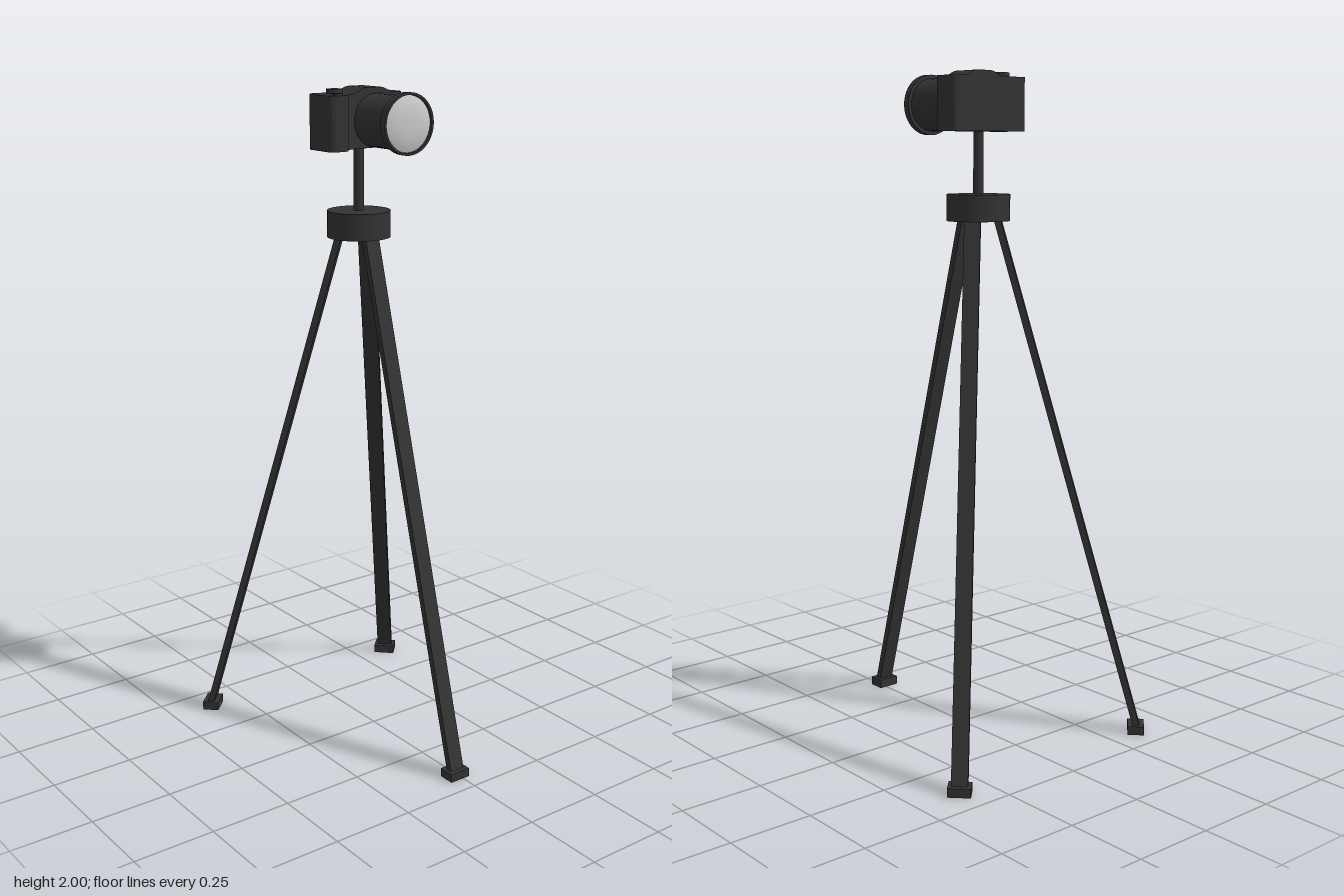
import * as THREE from 'three';
import { toCreasedNormals } from 'three/addons/utils/BufferGeometryUtils.js';

const dark = new THREE.MeshStandardMaterial({ color: 0x333333 });
const glass = new THREE.MeshStandardMaterial({ color: 0xcccccc });
const CX = -0.011, CZ = -0.059; // tripod axis
const LX = 0.031, LY = 1.906; // lens axis

export function createModel() {
  const model = new THREE.Group();

  function add(parent, name, geometry, x = 0, y = 0, z = 0, material = dark) {
    const mesh = new THREE.Mesh(geometry, material);
    mesh.name = name;
    mesh.position.set(x, y, z);
    parent.add(mesh);
    return mesh;
  }

  // Tripod: hub, centre column and three flat legs with block feet
  const tripod = new THREE.Group();
  tripod.name = 'tripod';
  model.add(tripod);
  add(tripod, 'hub', new THREE.CylinderGeometry(0.094, 0.094, 0.078, 32), CX, 1.608, CZ);
  add(tripod, 'centreColumn', new THREE.CylinderGeometry(0.015, 0.015, 0.22, 20), CX, 1.74, CZ);

  const legs = [
    { name: 'frontLeg', top: [CX, -0.006], foot: [CX, 0.422], angle: 0 },
    { name: 'backLeftLeg', top: [0.042, -0.098], foot: [0.354, -0.408], angle: Math.PI * 0.75 },
    { name: 'backRightLeg', top: [-0.05, -0.098], foot: [-0.357, -0.408], angle: -Math.PI * 0.75 },
  ];
  for (const { name, top, foot, angle } of legs) {
    const leg = new THREE.Group();
    leg.name = name;
    leg.position.set(foot[0], 0, foot[1]);
    leg.rotation.y = angle;
    tripod.add(leg);
    // In leg space +z points outwards; the leg leans inwards to the hub
    const run = Math.hypot(foot[0] - top[0], foot[1] - top[1]);
    const tilt = Math.atan2(run, 1.555);
    const length = 1.575 / Math.cos(tilt);
    const bar = add(leg, 'legBar', new THREE.BoxGeometry(0.048, length, 0.02).translate(0, length / 2, 0), 0, 0.012, 0.004);
    bar.rotation.x = -tilt;
    add(leg, 'foot', new THREE.BoxGeometry(0.067, 0.027, 0.05), 0, 0.0135, 0);
  }

  const camera = new THREE.Group();
  camera.name = 'camera';
  model.add(camera);

  // Body: rounded plan outline with a front grip (shape y is -z), extruded upwards
  const plan = new THREE.Shape();
  plan.moveTo(-0.135, 0.122);
  plan.lineTo(-0.154, 0.1);
  plan.lineTo(-0.154, 0.012);
  plan.quadraticCurveTo(-0.154, -0.008, -0.13, -0.008);
  plan.lineTo(-0.105, -0.008);
  plan.quadraticCurveTo(-0.091, -0.007, -0.086, 0.006);
  plan.quadraticCurveTo(-0.075, 0.031, -0.04, 0.032);
  plan.lineTo(0.11, 0.032);
  plan.quadraticCurveTo(0.135, 0.034, 0.135, 0.058);
  plan.lineTo(0.135, 0.098);
  plan.quadraticCurveTo(0.135, 0.12, 0.118, 0.122);
  plan.closePath();
  const body = new THREE.ExtrudeGeometry(plan, { depth: 0.156, bevelEnabled: false, curveSegments: 8 });
  body.rotateX(-Math.PI / 2);
  add(camera, 'body', toCreasedNormals(body, 0.6), 0, 1.828, 0);

  // Viewfinder hump: smooth bulge across the top of the body
  const hump = new THREE.Shape();
  hump.moveTo(-0.065, 0);
  hump.bezierCurveTo(-0.035, 0, -0.03, 0.022, 0, 0.022);
  hump.lineTo(0.045, 0.022);
  hump.bezierCurveTo(0.075, 0.022, 0.08, 0, 0.11, 0);
  hump.closePath();
  const humpGeometry = new THREE.ExtrudeGeometry(hump, { depth: 0.088, bevelEnabled: false, curveSegments: 10 });
  add(camera, 'viewfinderHump', toCreasedNormals(humpGeometry, 0.6), 0, 1.978, -0.121);

  // Controls on the top plate
  add(camera, 'modeDial', new THREE.CylinderGeometry(0.024, 0.024, 0.016, 24), -0.083, 1.989, -0.078);
  add(camera, 'shutterButton', new THREE.CylinderGeometry(0.014, 0.014, 0.008, 20), -0.122, 1.986, -0.008);

  // Lens: barrel, front ring and a shallow glass dome, all turned about z
  const lens = new THREE.Group();
  lens.name = 'lens';
  lens.position.set(LX, LY, 0);
  camera.add(lens);
  const turned = (points, segments = 40) =>
    toCreasedNormals(new THREE.LatheGeometry(points.map(([r, z]) => new THREE.Vector2(r, z)), segments).rotateX(Math.PI / 2), 0.6);
  add(lens, 'barrel', turned([[0, -0.05], [0.077, -0.05], [0.077, 0.108], [0, 0.108]]));
  add(lens, 'frontRing', turned([[0.07, 0.105], [0.088, 0.105], [0.088, 0.126], [0.081, 0.126], [0.08, 0.118]]));
  add(lens, 'glass', turned([[0.081, 0.118], [0.07, 0.122], [0.055, 0.126], [0.035, 0.129], [0.016, 0.13], [0, 0.13]]), 0, 0, 0, glass);

  return model;
}
